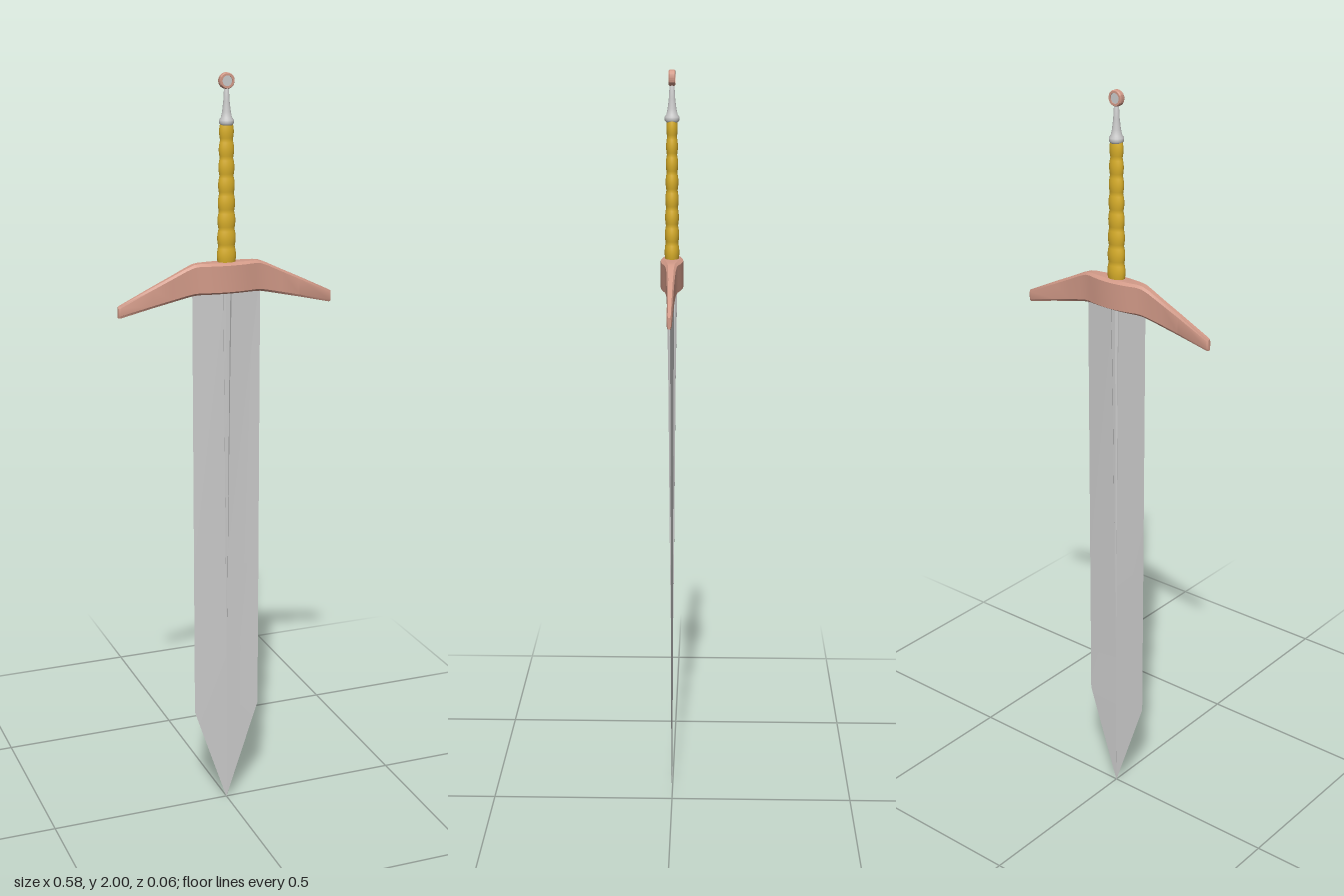
import * as THREE from 'three';
import { toCreasedNormals } from 'three/addons/utils/BufferGeometryUtils.js';

const mat = (color) => new THREE.MeshStandardMaterial({ color });
const steel = mat(0xcccccc), copper = mat(0xd29a88), gold = mat(0xd8ae2a);

// Skin a list of equal-length rings of [x, y, z] points and cap both ends
function loft(rings, crease) {
  const n = rings[0].length, index = [];
  for (let i = 0; i < rings.length - 1; i++) {
    for (let j = 0; j < n; j++) {
      const a = i * n + j, b = i * n + (j + 1) % n;
      index.push(a, b, b + n, a, b + n, a + n);
    }
  }
  const last = (rings.length - 1) * n;
  for (let j = 1; j < n - 1; j++) {
    index.push(0, j + 1, j, last, last + j, last + j + 1);
  }
  const g = new THREE.BufferGeometry();
  g.setAttribute('position', new THREE.Float32BufferAttribute(rings.flat(2), 3));
  g.setIndex(index);
  return toCreasedNormals(g, crease);
}

export function createModel() {
  const model = new THREE.Group();
  const add = (name, geometry, material) => {
    const mesh = new THREE.Mesh(geometry, material);
    mesh.name = name;
    model.add(mesh);
    return mesh;
  };

  // Blade: thin diamond section, [y, half width, half thickness]
  const bladeRows = [[0, 0.0005, 0.0003], [0.278, 0.093, 0.002], [0.7, 0.093, 0.003], [1.5, 0.093, 0.006]];
  add('blade', loft(bladeRows.map(([y, w, t]) =>
    [[0, y, t], [w, y, 0], [0, y, -t], [-w, y, 0]]), 0.02), steel);

  // Central rib: tapers to a point down the blade, [y, half width, half thickness]
  const ribRows = [[0.445, 0.0008, 0.002], [0.7, 0.003, 0.0055], [1.2, 0.008, 0.0095], [1.5, 0.012, 0.014]];
  add('bladeRib', loft(ribRows.map(([y, w, t]) => [
    [w * 0.5, y, t], [w, y, t * 0.6], [w, y, -t * 0.6], [w * 0.5, y, -t],
    [-w * 0.5, y, -t], [-w, y, -t * 0.6], [-w, y, t * 0.6], [-w * 0.5, y, t]]), 0.4), steel);

  // Crossguard: chamfered section swept along x, [x, bottom, top, half depth]
  const half = [[0, 1.45, 1.53, 0.029], [0.025, 1.45, 1.53, 0.0275], [0.05, 1.45, 1.53, 0.0235],
    [0.075, 1.45, 1.53, 0.017], [0.09, 1.449, 1.528, 0.014], [0.11, 1.445, 1.52, 0.0115],
    [0.15, 1.436, 1.501, 0.0095], [0.2, 1.425, 1.478, 0.008], [0.286, 1.405, 1.437, 0.006],
    [0.291, 1.406, 1.434, 0.004]];
  const guardRows = [...half.slice(1).reverse().map(([x, ...r]) => [-x, ...r]), ...half];
  add('crossguard', loft(guardRows.map(([x, b, t, d]) => {
    const c = d * 0.4, k = 0.006;
    return [[x, t, -d + c], [x, t, d - c], [x, t - k, d], [x, b + k, d],
      [x, b, d - c], [x, b, -d + c], [x, b + k, -d], [x, t - k, -d]];
  }), 0.5), copper);

  // Grip: oval, tapering, with eight rounded swells
  const profile = [];
  for (let i = 0; i <= 64; i++) {
    const t = i / 64;
    const swell = Math.abs(Math.sin(t * 8 * Math.PI));
    profile.push(new THREE.Vector2(0.0225 - 0.007 * t + 0.003 * swell, 1.525 + 0.355 * t));
  }
  add('grip', new THREE.LatheGeometry(profile, 28), gold).scale.z = 0.75;

  // Ferrule and tapering neck above the grip
  const neck = [[0, 1.872], [0.015, 1.872], [0.0185, 1.877], [0.0185, 1.885], [0.014, 1.891],
    [0.011, 1.905], [0.008, 1.93], [0.006, 1.965], [0, 1.965]];
  add('neck', new THREE.LatheGeometry(neck.map(([r, y]) => new THREE.Vector2(r, y)), 24), steel);

  // Pommel: copper rim around a steel disc, facing front and back
  const rim = [[0.013, -0.008], [0.018, -0.008], [0.02, -0.005], [0.02, 0.005],
    [0.018, 0.008], [0.013, 0.008], [0.013, -0.008]].map(([r, y]) => new THREE.Vector2(r, y));
  const parts = [
    add('pommelRim', toCreasedNormals(new THREE.LatheGeometry(rim, 28), 0.5), copper),
    add('pommelDisc', new THREE.CylinderGeometry(0.0135, 0.0135, 0.011, 28), steel)];
  for (const part of parts) {
    part.rotation.x = Math.PI / 2;
    part.position.y = 1.98;
  }

  return model;
}
